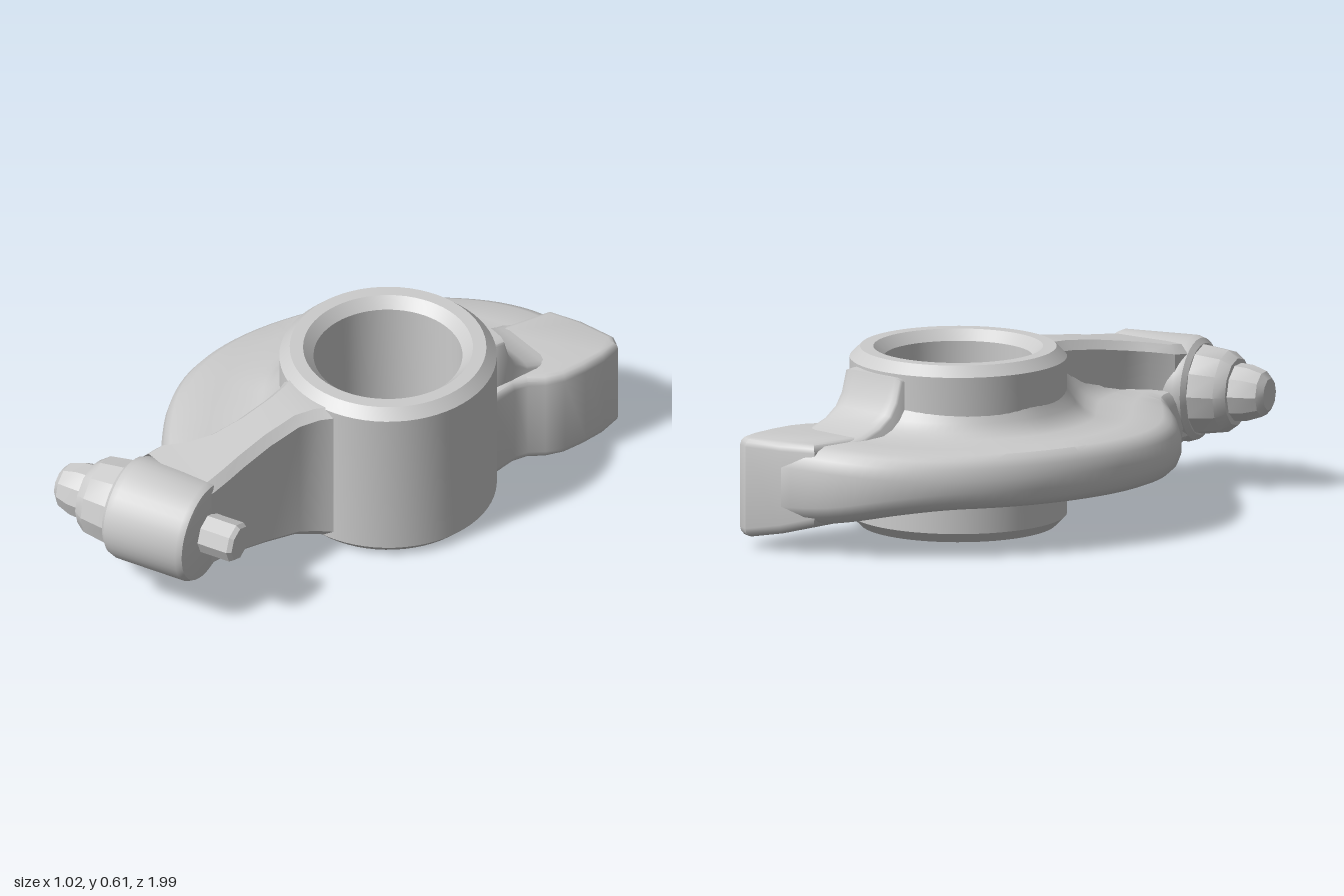
import * as THREE from 'three';
import { toCreasedNormals } from 'three/addons/utils/BufferGeometryUtils.js';

const material = new THREE.MeshStandardMaterial({ color: 0xcccccc, side: THREE.DoubleSide });
const { smoothstep, clamp } = THREE.MathUtils;

function part(name, geometry, crease = 0.6) {
  const mesh = new THREE.Mesh(toCreasedNormals(geometry, crease), material);
  mesh.name = name;
  return mesh;
}

// Skins a list of rings (arrays of Vector3) into one surface
function loft(rings, closed) {
  const n = rings[0].length, index = [];
  for (let i = 0; i < rings.length - 1; i++) {
    for (let j = 0; j < (closed ? n : n - 1); j++) {
      const k = (j + 1) % n;
      const a = i * n + j, b = i * n + k, c = a + n, d = b + n;
      index.push(a, b, c, b, d, c);
    }
  }
  const g = new THREE.BufferGeometry().setFromPoints(rings.flat());
  g.setIndex(index);
  return g;
}

const lathe = (pts, sides) =>
  new THREE.LatheGeometry(pts.map(([r, y]) => new THREE.Vector2(r, y)), sides);
const curve = (pts) =>
  new THREE.CatmullRomCurve3(pts.map(([x, z]) => new THREE.Vector3(x, 0, z)));
const shape = (pts) => new THREE.Shape(pts.map(([x, y]) => new THREE.Vector2(x, y)));

// Bored hub with chamfered rims
function makeHub() {
  const hub = part('hub', lathe([
    [0.33, 0], [0.365, 0.035], [0.365, 0.57], [0.33, 0.605], [0.285, 0.605],
    [0.25, 0.57], [0.25, 0.035], [0.285, 0], [0.33, 0],
  ], 64), 0.4);
  hub.position.set(0.14, 0, -0.18);
  return hub;
}

// Curved web: sections run from the hub out to a rounded rim and back underneath
function makeWeb() {
  const outer = curve([[0.2, -0.97], [0, -0.91], [-0.15, -0.82], [-0.3, -0.66], [-0.42, -0.45],
    [-0.49, -0.22], [-0.51, 0], [-0.48, 0.18], [-0.4, 0.33], [-0.25, 0.48], [-0.08, 0.61], [-0.04, 0.7]]);
  const inner = curve([[0.2, -0.5], [0.1, -0.51], [0, -0.48], [-0.09, -0.42], [-0.16, -0.33],
    [-0.2, -0.2], [-0.18, -0.08], [-0.12, 0.04], [-0.02, 0.13], [0.08, 0.25], [0.13, 0.5], [0.15, 0.7]]);
  // fraction outward, hub fillet height, rim rounding depth
  const profile = [[0, 0.12, 0], [0.07, 0.08, 0], [0.14, 0.04, 0], [0.22, 0.014, 0], [0.32, 0, 0],
    [0.6, 0, 0], [0.85, 0, 0], [0.92, 0, 0.012], [0.97, 0, 0.035], [1, 0, 0.075]];
  const rings = [];
  for (let i = 0; i <= 48; i++) {
    const u = i / 48, a = inner.getPoint(u), b = outer.getPoint(u);
    const blend = smoothstep(u, 0, 0.3);
    const filletBelow = 0.5 * blend * (1 - smoothstep(u, 0.65, 0.82));
    const bottom = 0.085 + 0.07 * blend;
    const at = (s, y) => new THREE.Vector3().lerpVectors(a, b, s).setY(y);
    rings.push([
      ...profile.map(([s, f, r]) => at(s, 0.38 + f - r - (0.01 + 0.025 * blend) * s)),
      ...profile.map(([s, f, r]) => at(s, bottom - f * filletBelow + r * 0.8 + 0.015 * s)).reverse(),
    ]);
  }
  return part('web', loft(rings, false), 0.5);
}

// Arm from hub to front boss: chamfered box sections [z, left edge, right edge, bottom, top]
function makeArm() {
  const sections = [
    [0.12, -0.01, 0.3, 0.03, 0.575], [0.16, 0.015, 0.275, 0.035, 0.575], [0.2, 0.035, 0.255, 0.045, 0.575],
    [0.27, 0.05, 0.235, 0.065, 0.568], [0.4, 0.06, 0.24, 0.095, 0.55], [0.52, 0.05, 0.255, 0.125, 0.53],
    [0.6, 0.02, 0.27, 0.145, 0.518], [0.67, -0.03, 0.28, 0.155, 0.507], [0.73, -0.03, 0.28, 0.16, 0.5],
  ];
  const c = 0.03;
  return part('arm', loft(sections.map(([z, l, r, b, t]) => [
    [l + c, b], [r - c, b], [r, b + c], [r, t - c], [r - c, t], [l + c, t], [l, t - c], [l, b + c],
  ].map(([x, y]) => new THREE.Vector3(x, y, z))), true), 0.6);
}

// Contact pad at the back; its underside climbs toward the web
function makePad() {
  const g = new THREE.ExtrudeGeometry(shape([
    [0.1, 0.9], [0.2, 0.945], [0.32, 0.975], [0.345, 0.965], [0.365, 0.9], [0.372, 0.82], [0.37, 0.74],
    [0.35, 0.68], [0.315, 0.63], [0.305, 0.57], [0.32, 0.49], [0.1, 0.49], [0.07, 0.7],
  ]), { depth: 0.28, bevelThickness: 0.03, bevelSize: 0.025, bevelSegments: 3 });
  g.rotateX(-Math.PI / 2).translate(0, 0.07, 0);
  const p = g.attributes.position;
  for (let i = 0; i < p.count; i++) {
    const rise = 0.06 * clamp((0.28 - p.getX(i)) / 0.2, 0, 1);
    if (p.getY(i) < 0.2) p.setY(i, p.getY(i) + rise);
  }
  return part('contactPad', g, 0.6);
}

// Filleted neck that ties the pad to the hub
function makeNeck() {
  const g = new THREE.ExtrudeGeometry(shape([
    [0.49, 0.15], [0.76, 0.15], [0.76, 0.36], [0.71, 0.37],
    [0.64, 0.395], [0.59, 0.43], [0.56, 0.475], [0.54, 0.545], [0.49, 0.55],
  ]), { depth: 0.17, bevelThickness: 0.05, bevelSize: 0.015, bevelSegments: 3 });
  g.rotateY(Math.PI / 2).translate(0.09, 0, 0);
  return part('neck', g, 0.8);
}

// Front boss with its adjuster, all on one slanted axis
function makeAdjuster() {
  const group = new THREE.Group();
  group.name = 'adjuster';
  const add = (name, pts, sides) =>
    group.add(part(name, lathe(pts, sides).rotateZ(-Math.PI / 2), 0.5));
  add('boss', [[0, -0.32], [0.155, -0.32], [0.172, -0.305], [0.18, -0.28],
    [0.18, -0.025], [0.17, -0.005], [0.155, 0], [0, 0]], 40);
  add('lockNut', [[0, -0.445], [0.115, -0.445], [0.14, -0.41], [0.155, -0.31], [0, -0.31]], 12);
  add('adjusterTip', [[0, -0.56], [0.055, -0.56], [0.078, -0.54], [0.095, -0.49],
    [0.1, -0.43], [0, -0.43]], 10);
  add('stud', [[0, -0.02], [0.07, -0.02], [0.07, 0.11], [0.06, 0.125], [0, 0.125]], 8);
  group.position.set(0.29, 0.332, 0.705);
  group.rotation.y = 0.4;
  return group;
}

export function createModel() {
  const model = new THREE.Group();
  model.name = 'rockerArm';
  model.add(makeHub(), makeWeb(), makeArm(), makePad(), makeNeck(), makeAdjuster());
  return model;
}
